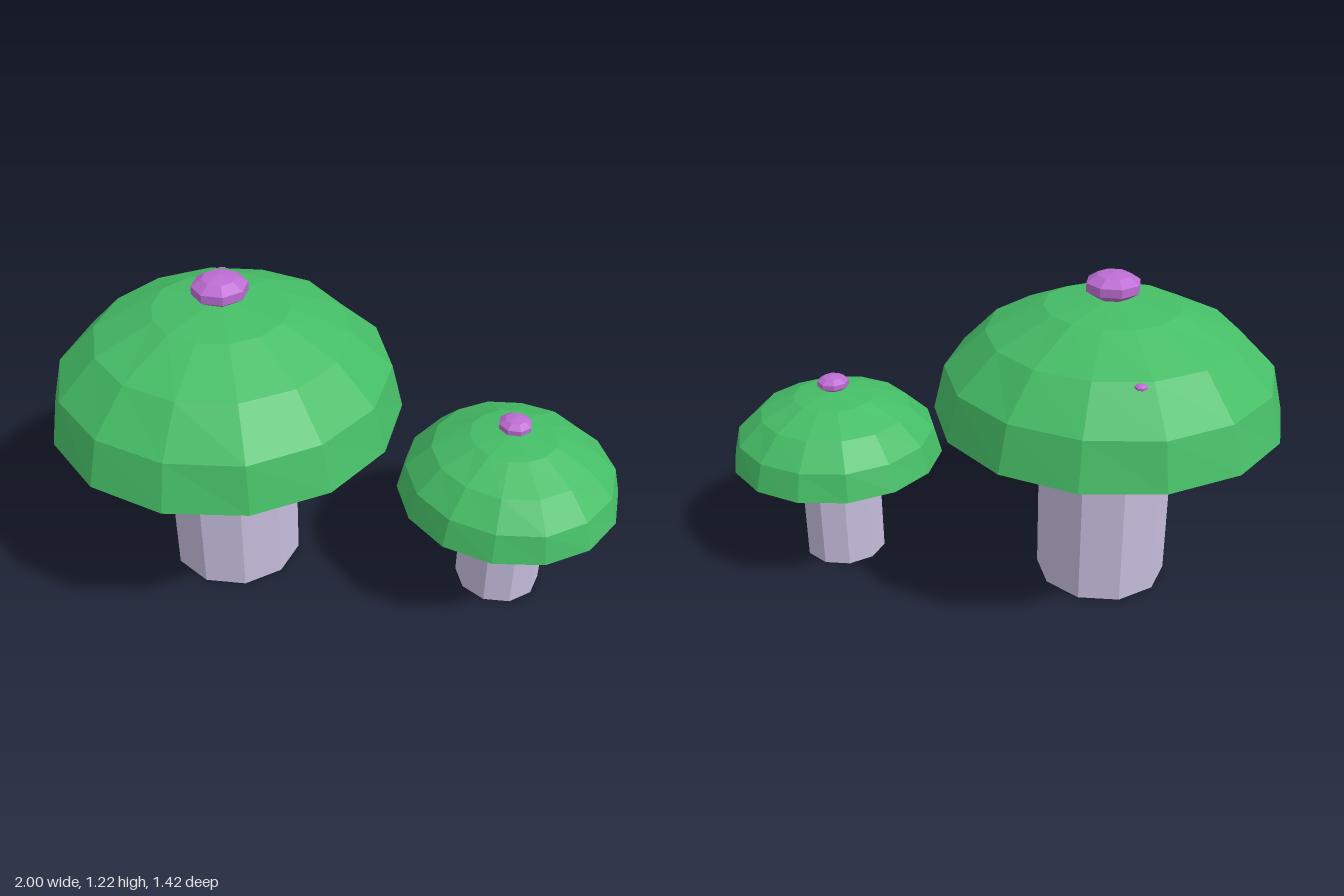
import * as THREE from 'three';

const green = new THREE.MeshStandardMaterial({ color: 0x45bd66, flatShading: true });
green.name = 'capGreen';
const lilac = new THREE.MeshStandardMaterial({ color: 0xc6bddd, flatShading: true });
lilac.name = 'stemLilac';
const purple = new THREE.MeshStandardMaterial({ color: 0xbd6cd2, flatShading: true });
purple.name = 'spotPurple';

function addMesh(parent, name, geometry, material, x, y, z) {
  const mesh = new THREE.Mesh(geometry, material);
  mesh.name = name;
  mesh.position.set(x, y, z);
  parent.add(mesh);
  return mesh;
}

// Faceted half dome with gently uneven vertices
function domeGeometry(radius, height) {
  const dome = new THREE.SphereGeometry(1, 14, 4, 0, Math.PI * 2, 0, Math.PI / 2);
  dome.rotateY(Math.PI / 2);
  const p = dome.attributes.position;
  for (let i = 0; i < p.count; i++) {
    const x = p.getX(i), y = p.getY(i), z = p.getZ(i);
    const inner = y > 0.01 && y < 0.99 ? 1 : 0;
    const k = 1 + inner * 0.015 * Math.sin(17 * x + 5 * y) * Math.cos(13 * z);
    p.setXYZ(i, x * radius * k, y * height * k, z * radius * k);
  }
  dome.computeVertexNormals();
  return dome;
}

// Flattened round spot
function spotGeometry(radius) {
  return new THREE.SphereGeometry(radius, 8, 5).scale(1, 0.48, 1);
}

function mushroom(name, x, z, s) {
  const group = new THREE.Group();
  group.name = name;
  group.position.set(x, 0, z);
  const stem = new THREE.CylinderGeometry(s.stemRadius, s.stemRadius, s.rim, 10);
  addMesh(group, 'stem', stem, lilac, 0, s.rim / 2, 0);
  addMesh(group, 'cap', domeGeometry(s.capRadius, s.capHeight), green, 0, s.rim, 0);
  // Flat underside, matching the rim corners
  const under = new THREE.CircleGeometry(s.capRadius, 14, Math.PI / 2).rotateX(Math.PI / 2);
  addMesh(group, 'capUnderside', under, green, 0, s.rim, 0);
  addMesh(group, 'topSpot', spotGeometry(s.spotRadius), purple, 0, s.spotY, 0);
  return group;
}

export function createModel() {
  const model = new THREE.Group();
  model.name = 'mushrooms';
  const large = mushroom('largeMushroom', -0.376, -0.07, {
    stemRadius: 0.25, rim: 0.695, capRadius: 0.64, capHeight: 0.437, spotRadius: 0.104, spotY: 1.171,
  });
  // Small spot barely showing on the back of the cap
  addMesh(large, 'backSpot', spotGeometry(0.025), purple, 0.043, 0.99, -0.45);
  const small = mushroom('smallMushroom', 0.6, 0.302, {
    stemRadius: 0.16, rim: 0.43, capRadius: 0.407, capHeight: 0.268, spotRadius: 0.063, spotY: 0.726,
  });
  model.add(large, small);
  return model;
}
